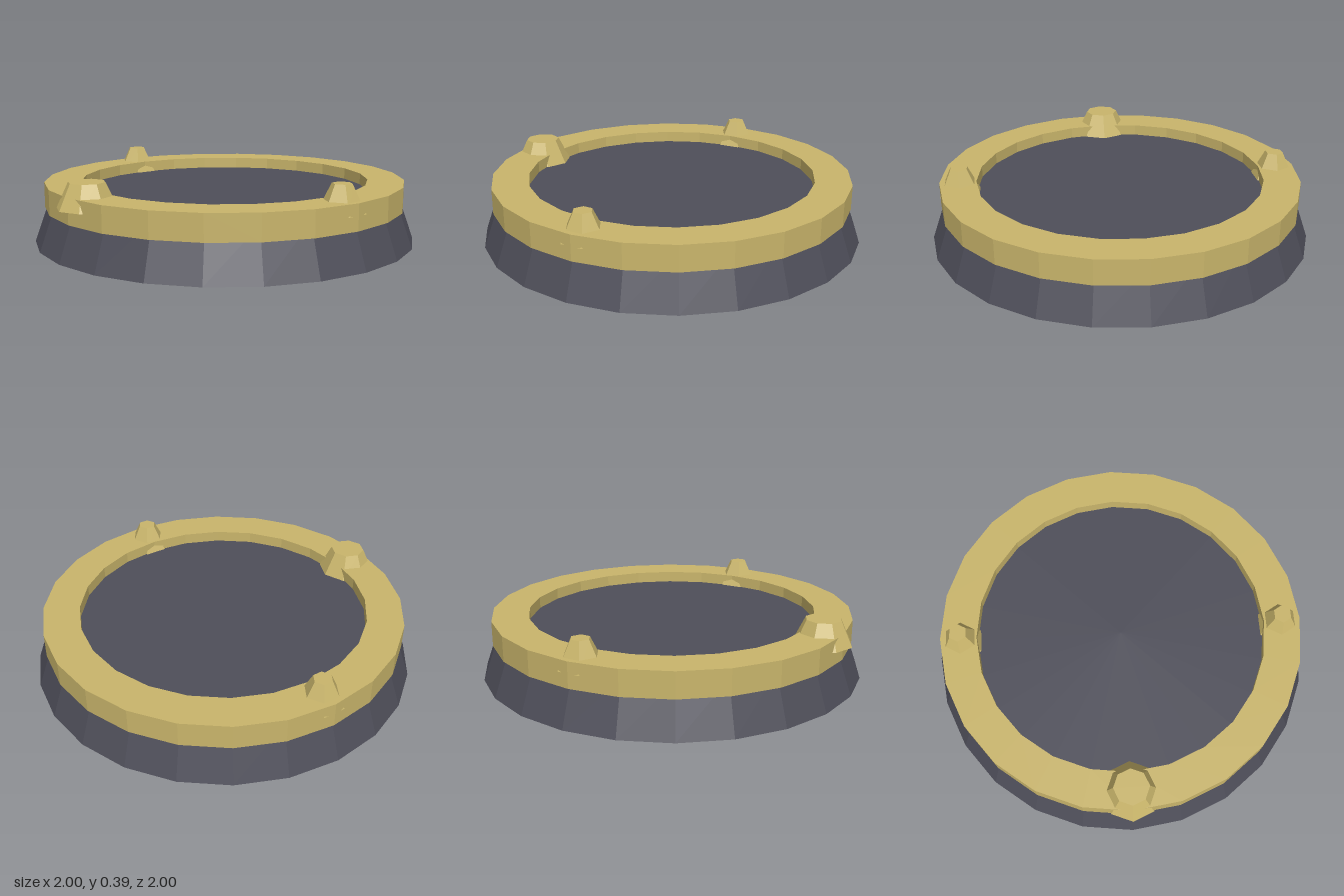
import * as THREE from 'three';

export function createModel() {
  const model = new THREE.Group();
  const slate = new THREE.MeshStandardMaterial({ color: 0x4e4e59, flatShading: true });
  slate.name = 'slate';
  const gold = new THREE.MeshStandardMaterial({ color: 0xc9b56b, flatShading: true });
  gold.name = 'gold';

  function add(name, geometry, material, x, y, z) {
    const mesh = new THREE.Mesh(geometry, material);
    mesh.name = name;
    mesh.position.set(x, y, z);
    model.add(mesh);
  }

  // A tapered prism standing between two heights
  function frustum(name, material, topRadius, bottomRadius, y0, y1, sides, x, z) {
    const geometry = new THREE.CylinderGeometry(topRadius, bottomRadius, y1 - y0, sides);
    add(name, geometry, material, x, (y0 + y1) / 2, z);
  }

  // Tapered base, whose top is the floor inside the rim
  frustum('base', slate, 0.91, 1, 0, 0.25, 24, 0, 0);

  // Rim with a rectangular section
  const section = [[0.755, 0.18], [0.945, 0.18], [0.945, 0.31], [0.755, 0.31], [0.755, 0.18]]
    .map(([r, y]) => new THREE.Vector2(r, y));
  add('rim', new THREE.LatheGeometry(section, 24), gold, 0, 0, 0);

  // Large stud at the front, small studs at the sides
  frustum('frontStud', gold, 0.09, 0.15, 0.25, 0.375, 8, 0, 0.84);
  for (const [name, side] of [['leftStud', 1], ['rightStud', -1]]) {
    frustum(name, gold, 0.048, 0.116, 0.25, 0.388, 6, side * 0.84, 0);
  }

  return model;
}
